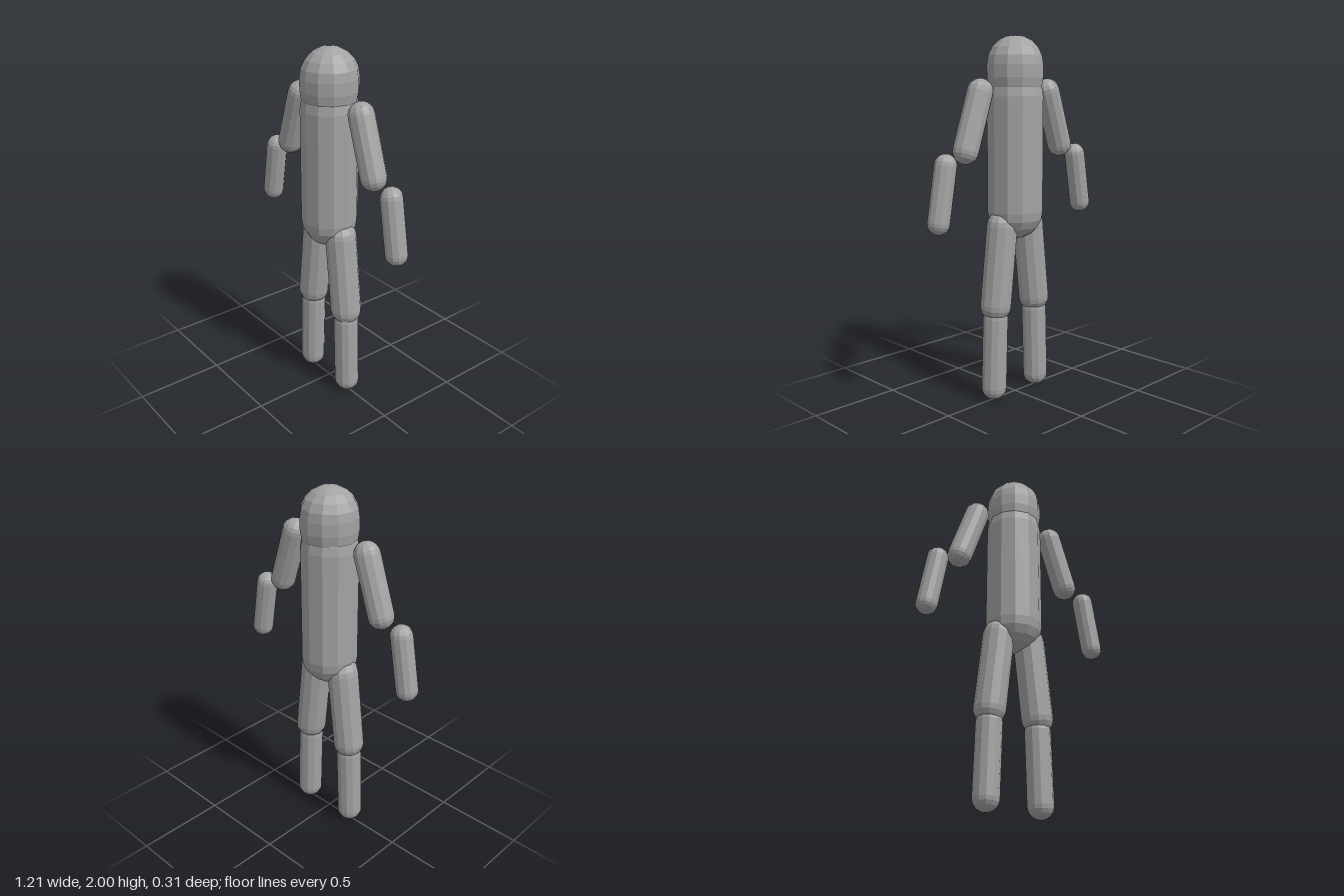
import * as THREE from 'three';

export function createModel() {
  const model = new THREE.Group();
  const grey = new THREE.MeshStandardMaterial({ color: 0xa3a3a3, flatShading: true });
  grey.name = 'plain grey';

  // Capsule whose end-sphere centres sit at the two given [x, y] points
  function capsule(name, radius, [x1, y1], [x2, y2]) {
    const top = new THREE.Vector3(x1, y1, 0);
    const bottom = new THREE.Vector3(x2, y2, 0);
    const axis = top.clone().sub(bottom);
    const mesh = new THREE.Mesh(new THREE.CapsuleGeometry(radius, axis.length(), 5, 12), grey);
    mesh.name = name;
    mesh.position.copy(top).add(bottom).multiplyScalar(0.5);
    mesh.rotation.z = Math.atan2(-axis.x, axis.y);
    model.add(mesh);
  }

  // Head and torso overlap at the neck crease
  capsule('head', 0.156, [0, 1.844], [0, 1.777]);
  capsule('torso', 0.156, [0, 1.677], [0, 1.055]);

  // Mirrored limbs: left is +x
  for (const [side, s] of [['left', 1], ['right', -1]]) {
    capsule(side + 'UpperArm', 0.07, [s * 0.255, 1.702], [s * 0.357, 1.402]);
    capsule(side + 'Forearm', 0.06, [s * 0.493, 1.337], [s * 0.544, 1.047]);
    capsule(side + 'Thigh', 0.087, [s * 0.1, 0.975], [s * 0.15, 0.54]);
    capsule(side + 'Shin', 0.071, [s * 0.152, 0.47], [s * 0.165, 0.071]);
  }
  return model;
}
